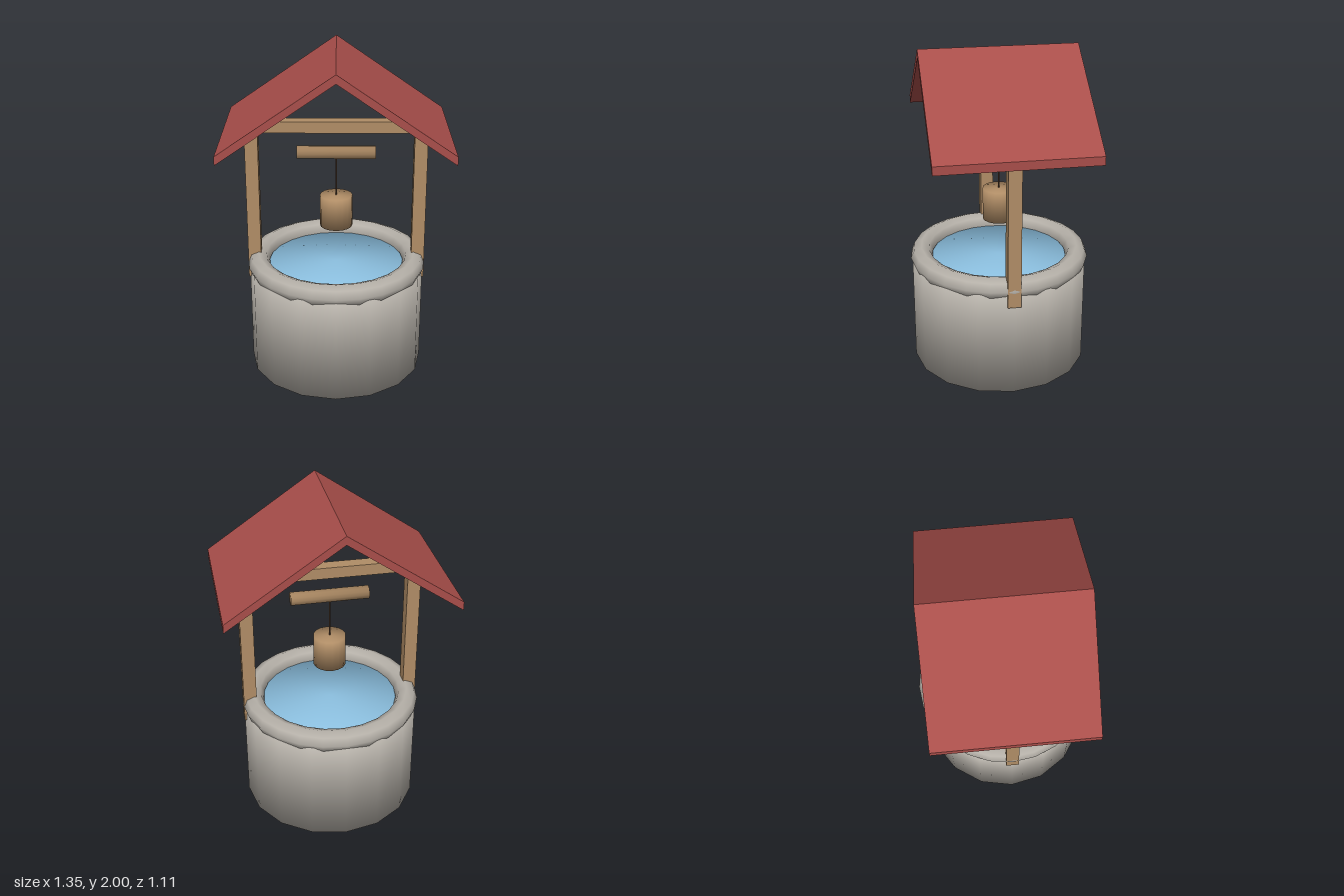
import * as THREE from 'three';

const colour = (name, hex) => {
  const m = new THREE.MeshStandardMaterial({ color: hex });
  m.name = name;
  return m;
};

// Closed cylinder whose normals blend softly around the rims
function softCylinder(radius, height, sides) {
  const g = new THREE.CylinderGeometry(radius, radius, height, sides);
  const p = g.attributes.position;
  const n = new THREE.Vector3();
  for (let i = 0; i < p.count; i++) {
    n.set(p.getX(i) / radius, Math.sign(p.getY(i)), p.getZ(i) / radius).normalize();
    g.attributes.normal.setXYZ(i, n.x, n.y, n.z);
  }
  return g;
}

export function createModel() {
  const well = new THREE.Group();
  well.name = 'well';

  const stone = colour('stone', 0xb5b0a8);
  const wood = colour('wood', 0xb08d66);
  const roofRed = colour('roofRed', 0xa84e4a);
  const waterBlue = colour('waterBlue', 0x8cc0e0);
  const ropeBrown = colour('ropeBrown', 0x5c4330);

  const add = (name, geometry, material, x, y, z) => {
    const mesh = new THREE.Mesh(geometry, material);
    mesh.name = name;
    mesh.position.set(x, y, z);
    well.add(mesh);
    return mesh;
  };

  // Round stone wall with a rolled rim, and the water inside it
  add('wall', softCylinder(0.543, 0.66, 16), stone, 0, 0.33, 0);
  add('rim', new THREE.TorusGeometry(0.485, 0.068, 8, 24), stone, 0, 0.682, 0).rotation.x = Math.PI / 2;
  add('water', softCylinder(0.45, 0.04, 24), waterBlue, 0, 0.655, 0);

  // Posts and crossbeam
  for (const [side, name] of [[1, 'leftPost'], [-1, 'rightPost']]) {
    add(name, new THREE.BoxGeometry(0.08, 0.98, 0.08), wood, side * 0.508, 1.07, 0);
  }
  add('crossbeam', new THREE.BoxGeometry(1.15, 0.07, 0.08), wood, 0, 1.563, 0);

  // Roller, rope and bucket
  add('roller', softCylinder(0.04, 0.475, 12), wood, 0, 1.395, 0).rotation.z = Math.PI / 2;
  add('rope', new THREE.CylinderGeometry(0.005, 0.005, 0.27, 6), ropeBrown, 0, 1.24, 0);
  add('bucket', softCylinder(0.1, 0.2, 16), wood, 0, 1.02, 0);

  // Gabled roof: a chevron section with upright ends
  const section = new THREE.Shape([
    [0, 2], [-0.675, 1.535], [-0.675, 1.483], [0, 1.948], [0.675, 1.483], [0.675, 1.535],
  ].map(([x, y]) => new THREE.Vector2(x, y)));
  add('roof', new THREE.ExtrudeGeometry(section, { depth: 0.946, bevelEnabled: false }), roofRed, 0, 0, -0.473);

  return well;
}
